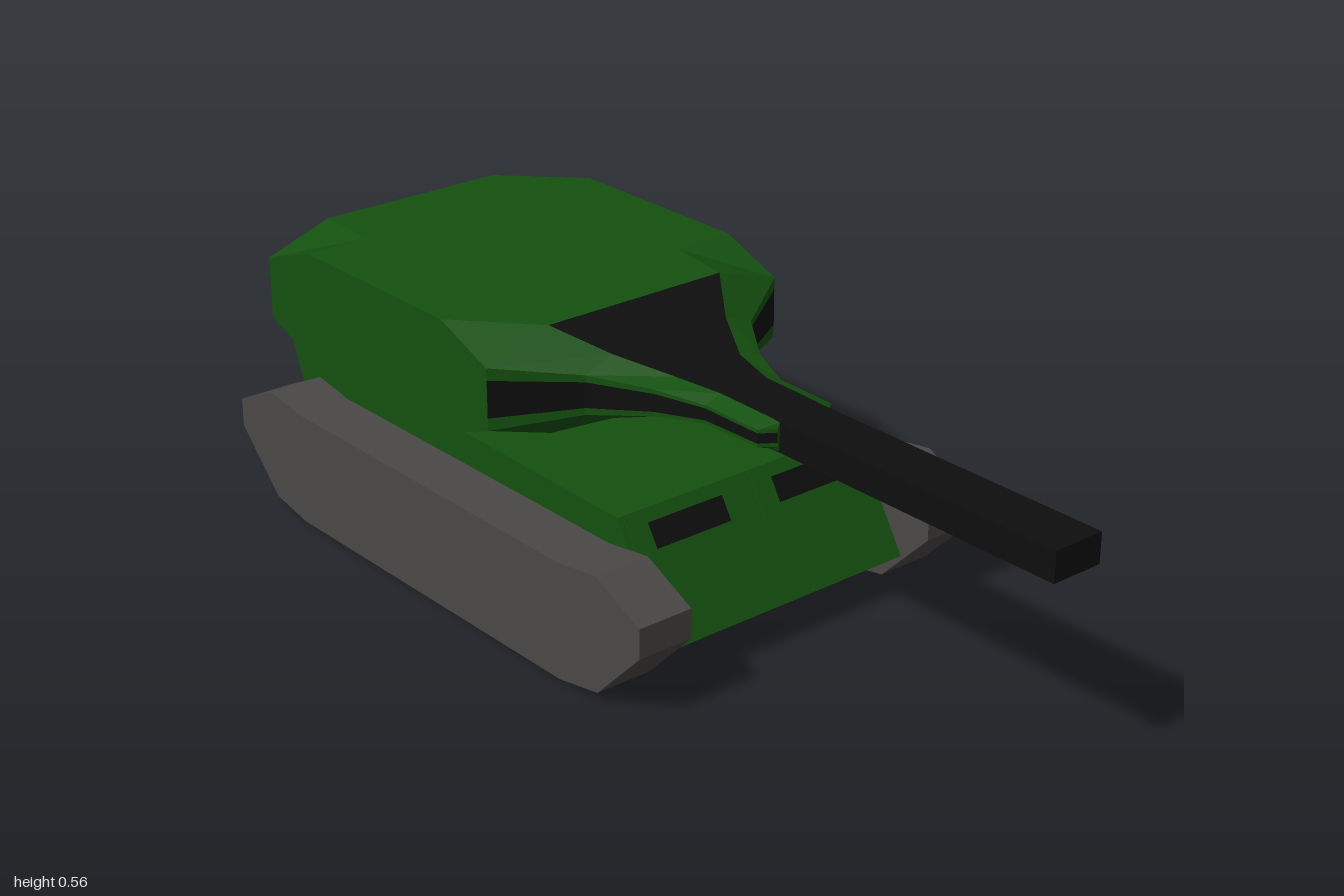
import * as THREE from 'three';

const mat = (color) => new THREE.MeshStandardMaterial({ color, flatShading: true });
const green = mat(0x14500f), grey = mat(0x4a4846), black = mat(0x0e0e0e);

function add(parent, name, geometry, material, x = 0, y = 0, z = 0) {
  const mesh = new THREE.Mesh(geometry, material);
  mesh.name = name;
  mesh.position.set(x, y, z);
  parent.add(mesh);
  return mesh;
}

// Side profile given as [z, y], extruded across x and centred
function sideExtrude(profile, width) {
  const shape = new THREE.Shape(profile.map(([z, y]) => new THREE.Vector2(z, y)));
  const g = new THREE.ExtrudeGeometry(shape, { depth: width, bevelEnabled: false });
  return g.translate(0, 0, -width / 2).rotateY(-Math.PI / 2);
}

// Twelve-point section: top half width, top height, side half width, shoulder height, stripe height
function ring([z, tw, th, w, sh, ch]) {
  const q = [[w, ch], [w, sh], [tw, th]];
  const r = [...q].reverse();
  return [
    [w, -ch], ...q,
    ...r.map(([x, y]) => [-x, y]),
    ...q.map(([x, y]) => [-x, -y]),
    ...r.slice(0, 2).map(([x, y]) => [x, -y]),
  ].map(([x, y]) => [x, y, z]);
}

// Loft through sections from front to back, keeping only the chosen bands
function loft(sections, keep, capFront, capBack) {
  const rings = sections.map(ring), pos = [];
  for (let s = 0; s < rings.length - 1; s++) {
    for (let i = 0; i < 12; i++) {
      if (!keep(i, s)) continue;
      const j = (i + 1) % 12, f = rings[s], b = rings[s + 1];
      pos.push(...f[i], ...b[i], ...b[j], ...f[i], ...b[j], ...f[j]);
    }
  }
  const front = rings[0], back = rings[rings.length - 1];
  for (let i = 1; i < 11; i++) {
    if (capFront) pos.push(...front[0], ...front[i], ...front[i + 1]);
    if (capBack) pos.push(...back[0], ...back[i + 1], ...back[i]);
  }
  const g = new THREE.BufferGeometry();
  g.setAttribute('position', new THREE.Float32BufferAttribute(pos, 3));
  g.computeVertexNormals();
  return g;
}

function rect(path, w, h) {
  path.moveTo(-w / 2, -h / 2);
  path.lineTo(w / 2, -h / 2);
  path.lineTo(w / 2, h / 2);
  path.lineTo(-w / 2, h / 2);
  path.closePath();
  return path;
}

export function createModel() {
  const model = new THREE.Group();
  model.name = 'tank';

  // Hull
  add(model, 'hull', sideExtrude([
    [0.31, 0.08], [0.175, 0.3], [-0.3, 0.308], [-0.9, 0.318], [-0.81, 0.08],
  ], 0.592), green);

  // Tracks
  const track = sideExtrude([
    [0.38, 0.14], [0.38, 0.2], [0.26, 0.256], [0.15, 0.24], [-0.7, 0.24], [-0.8, 0.256],
    [-0.92, 0.2], [-0.92, 0.14], [-0.8, 0.02], [-0.7, 0], [0.15, 0], [0.26, 0.02],
  ], 0.119);
  for (const s of [1, -1]) add(model, s > 0 ? 'leftTrack' : 'rightTrack', track, grey, s * 0.355);

  // Vision hatches lying on the sloped front plate
  const tilt = -Math.atan2(0.135, 0.22);
  const frameShape = rect(new THREE.Shape(), 0.27, 0.088);
  frameShape.holes.push(rect(new THREE.Path(), 0.18, 0.054));
  const frame = new THREE.ExtrudeGeometry(frameShape, { depth: 0.005, bevelEnabled: false });
  for (const s of [1, -1]) {
    const hatch = new THREE.Group();
    hatch.name = s > 0 ? 'leftHatch' : 'rightHatch';
    hatch.position.set(s * 0.15, 0.257, 0.2014);
    hatch.rotation.x = tilt;
    add(hatch, 'hatchFrame', frame, green);
    add(hatch, 'visionSlot', new THREE.BoxGeometry(0.18, 0.054, 0.004), black, 0, -0.003, 0);
    model.add(hatch);
  }

  // Turret ring: a tapered slab
  const slab = new THREE.BoxGeometry(0.52, 0.035, 0.48);
  const p = slab.attributes.position;
  for (let i = 0; i < p.count; i++) {
    if (p.getY(i) > 0) p.setXYZ(i, p.getX(i) * 0.78, p.getY(i), p.getZ(i) * 0.85);
  }
  slab.computeVertexNormals();
  add(model, 'turretRing', slab, green, 0, 0.318, -0.51);

  // Turret nose: four green cheeks with dark wedges between them
  const nose = [
    [0.34, 0.055, 0.028, 0.06, 0.018, 0.01],
    [0.32, 0.055, 0.03, 0.09, 0.017, 0.01],
    [0.18, 0.056, 0.032, 0.092, 0.018, 0.012],
    [0.08, 0.08, 0.039, 0.13, 0.027, 0.018],
    [-0.03, 0.14, 0.065, 0.205, 0.04, 0.026],
    [-0.13, 0.21, 0.11, 0.356, 0.063, 0.038],
  ];
  const y = 0.447;
  add(model, 'turretCheeks', loft(nose, (i) => i % 3 !== 0, true), green, 0, y);
  add(model, 'turretWedges', loft(nose, (i) => i % 3 === 0), black, 0, y);

  // Turret body with its rounded back
  add(model, 'turretBody', loft([
    nose[5],
    [-0.27, 0.22, 0.118, 0.356, 0.117, 0.04],
    [-0.72, 0.22, 0.118, 0.356, 0.117, 0.04],
    [-0.87, 0.21, 0.117, 0.356, 0.066, 0.038],
    [-0.975, 0.12, 0.068, 0.19, 0.045, 0.028],
    [-1, 0.04, 0.018, 0.05, 0.015, 0.01],
  ], () => true, false, true), green, 0, y);

  // Square gun barrel
  add(model, 'barrel', new THREE.BoxGeometry(0.11, 0.06, 1.05), black, 0, 0.446, 0.475);

  return model;
}
